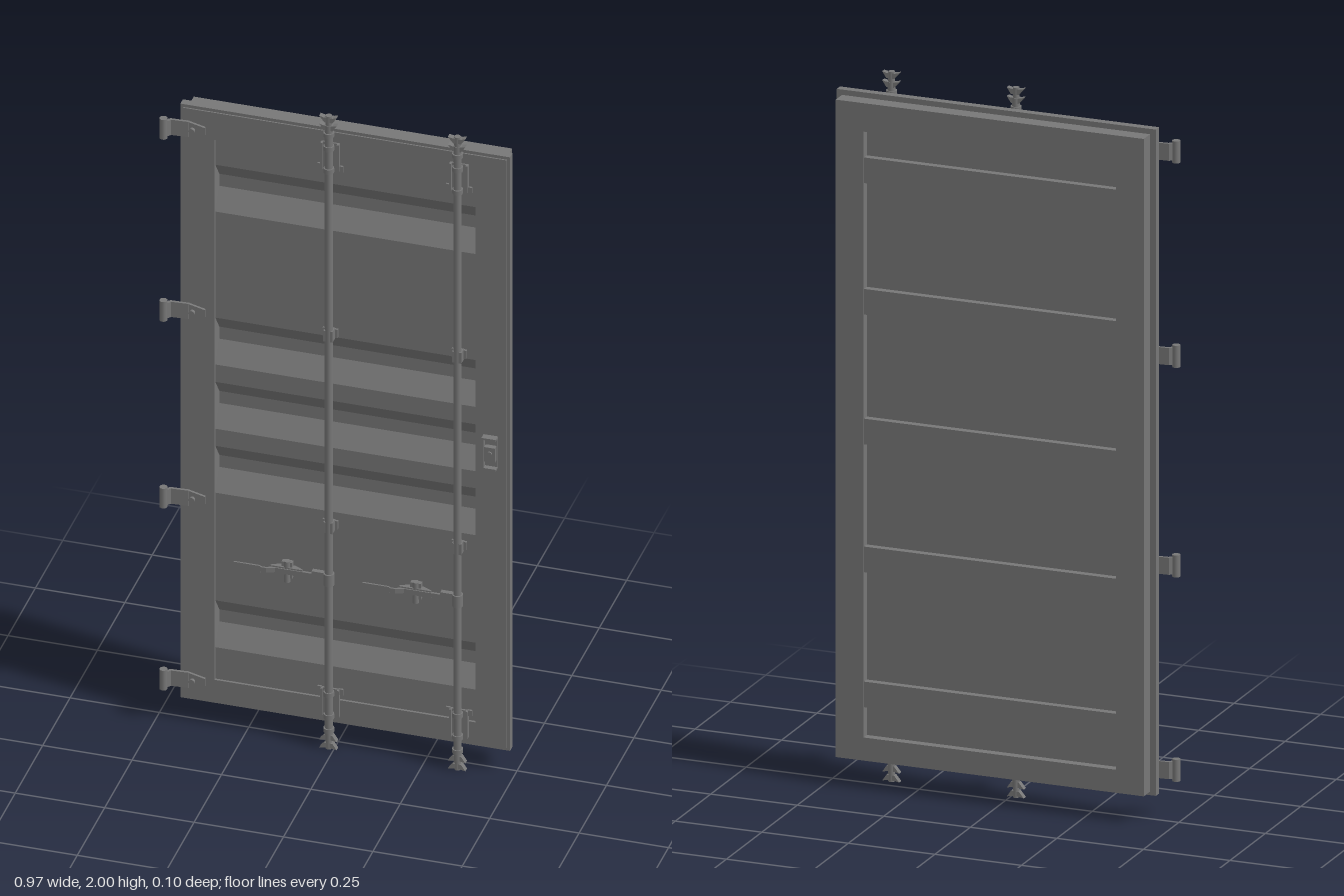
import * as THREE from 'three';

export function createModel() {
  const model = new THREE.Group();
  model.name = 'containerDoor';
  const steel = new THREE.MeshStandardMaterial({ color: 0x777777 });
  steel.name = 'grey steel';

  const add = (parent, name, geo, x = 0, y = 0, z = 0) => {
    const m = new THREE.Mesh(geo, steel);
    m.name = name;
    m.position.set(x, y, z);
    parent.add(m);
    return m;
  };
  const box = (parent, name, w, h, d, x, y, z) =>
    add(parent, name, new THREE.BoxGeometry(w, h, d), x, y, z);
  const cyl = (parent, name, r, h, x, y, z, r2 = r, n = 14) =>
    add(parent, name, new THREE.CylinderGeometry(r2, r, h, n), x, y, z);
  const group = (name, x, y, z = 0) => {
    const g = new THREE.Group();
    g.name = name;
    g.position.set(x, y, z);
    model.add(g);
    return g;
  };
  const polygon = pts => new THREE.Shape(pts.map(p => new THREE.Vector2(...p)));
  const extrude = (shape, depth) =>
    new THREE.ExtrudeGeometry(shape, { depth, bevelEnabled: false });
  const rect = (x0, x1, y0, y1) => [[x0, y0], [x1, y0], [x1, y1], [x0, y1]];
  // Outline drawn in plan as [x, z], extruded up and centred on y
  const planPlate = (pts, height) =>
    extrude(polygon(pts.map(([x, z]) => [x, -z])), height)
      .rotateX(-Math.PI / 2).translate(0, -height / 2, 0);

  // Frame: back block, wider front flange and raised face
  const X0 = -0.34, X1 = 0.39, Y0 = 0.145, Y1 = 1.85;
  const ring = (name, outer, z0, z1) => {
    const s = polygon(rect(...outer));
    s.holes.push(new THREE.Path(rect(X0, X1, Y0, Y1).map(p => new THREE.Vector2(...p))));
    add(model, name, extrude(s, z1 - z0), 0, 0, z0);
  };
  ring('frameBack', [-0.42, 0.47, 0.08, 1.93], -0.052, -0.008);
  ring('frameFlange', [-0.437, 0.485, 0.07, 1.945], -0.008, 0.015);
  ring('frameFace', [-0.428, 0.476, 0.079, 1.936], 0.015, 0.019);

  // Corrugated panel: section in [-z, y], extruded along x
  const face = 0.012, valley = -0.024;
  const section = [[0.028, Y0], [0.028, Y1], [-face, Y1]];
  for (const top of [1.768, 1.285, 1.082, 0.88, 0.392]) {
    section.push([-face, top], [-valley, top - 0.05],
      [-valley, top - 0.088], [-face, top - 0.148]);
  }
  section.push([-face, Y0]);
  add(model, 'corrugatedPanel',
    extrude(polygon(section), X1 - X0).rotateY(Math.PI / 2), X0, 0, 0);

  // Inner cross bands
  for (const y of [1.74, 1.37, 1.005, 0.645, 0.265])
    box(model, 'backBand', X1 - X0, 0.072, 0.02, (X0 + X1) / 2, y, -0.038);

  // Hinges: cranked leaf, narrower tip, pin and bolt
  for (const y of [1.875, 1.3, 0.71, 0.135]) {
    const g = group('hinge', 0, y);
    add(g, 'hingeLeaf', planPlate(
      [[-0.482, 0.042], [-0.462, 0.022], [-0.41, 0.02], [-0.41, 0.027], [-0.458, 0.03], [-0.472, 0.046]], 0.048));
    const tip = polygon([[-0.415, -0.024], [-0.365, -0.012], [-0.365, 0.012], [-0.415, 0.024]]);
    add(g, 'hingeTip', extrude(tip, 0.008), 0, 0, 0.018);
    cyl(g, 'hingePin', 0.011, 0.062, -0.477, 0, 0.038);
    cyl(g, 'hingeBolt', 0.008, 0.01, -0.4, 0, 0.03).rotation.x = Math.PI / 2;
  }

  // Locking rods with cams, bearings, guides and handles
  for (const x of [-0.015, 0.345]) {
    const rod = group('lockingRod', x, 0, 0.037);
    cyl(rod, 'rod', 0.011, 1.94, 0, 1, 0);

    for (const s of [1, -1]) {
      const at = d => 1 + s * d;
      // Cam: stacked flared teeth at the rod end
      cyl(rod, 'camCore', 0.009, 0.06, 0, at(0.969), 0);
      for (const d of [0.965, 0.99]) {
        const tooth = polygon([[-0.025, 0.008], [-0.01, -0.01], [0.012, -0.01], [0.024, 0.008], [0.012, 0.005], [-0.012, 0.005]]);
        const m = add(rod, 'camTooth', extrude(tooth, 0.016), 0, at(d), -0.008);
        if (s < 0) m.rotation.x = Math.PI, m.position.z = 0.008;
      }
      cyl(rod, 'camCollar', 0.015, 0.012, 0, at(0.94), 0);

      // End bearing: base plate, two lugs and a clamp
      box(rod, 'bearingBase', 0.05, 0.085, 0.006, 0, at(0.862), -0.016);
      for (const k of [-1, 1]) {
        box(rod, 'bearingLug', 0.006, 0.085, 0.012, k * 0.023, at(0.862), -0.012);
        box(rod, 'bearingFoot', 0.012, 0.018, 0.006, k * 0.03, at(0.826), -0.015);
      }
      for (const d of [0.827, 0.897])
        cyl(rod, 'bearingCollar', 0.0145, 0.014, 0, at(d), 0);

      // Intermediate guide
      const gy = s > 0 ? 1.305 : 0.7;
      box(rod, 'guideBase', 0.042, 0.026, 0.007, 0, gy, -0.015);
      box(rod, 'guideBlock', 0.026, 0.034, 0.024, 0, gy, -0.003);
    }

    // Handle: cranked flat bar, hub joining the rod and keeper
    const h = group('handle', x, 0.535);
    add(h, 'handleBar', planPlate(
      [[-0.265, 0.04], [-0.175, 0.04], [-0.152, 0.03], [-0.035, 0.03], [-0.035, 0.037],
        [-0.15, 0.037], [-0.173, 0.045], [-0.265, 0.045]], 0.014));
    box(h, 'handleGrip', 0.075, 0.02, 0.005, -0.227, 0, 0.0425);
    box(h, 'handleHub', 0.034, 0.036, 0.014, -0.03, 0, 0.035);
    cyl(h, 'rodClamp', 0.015, 0.036, 0, 0, 0.037);
    add(h, 'keeper', planPlate(
      [[-0.165, 0.03], [-0.14, 0.017], [-0.1, 0.017], [-0.075, 0.03], [-0.075, 0.034], [-0.165, 0.034]], 0.022));
    box(h, 'keeperBase', 0.03, 0.05, 0.014, -0.12, 0, 0.022);
    cyl(h, 'keeperPivot', 0.009, 0.065, -0.12, -0.004, 0.026);
  }

  // Lock box on the closing edge
  const lock = group('lockBox', 0.432, 1.01);
  box(lock, 'lockPlate', 0.04, 0.1, 0.006, 0, 0, 0.021);
  box(lock, 'lockBody', 0.03, 0.045, 0.02, 0.003, 0, 0.029);
  for (const k of [-1, 1])
    box(lock, 'lockFlange', 0.04, 0.006, 0.02, 0, k * 0.047, 0.029);
  box(lock, 'lockSide', 0.006, 0.1, 0.02, -0.017, 0, 0.029);
  cyl(lock, 'lockPin', 0.007, 0.006, 0.003, 0.004, 0.04).rotation.x = Math.PI / 2;

  return model;
}
